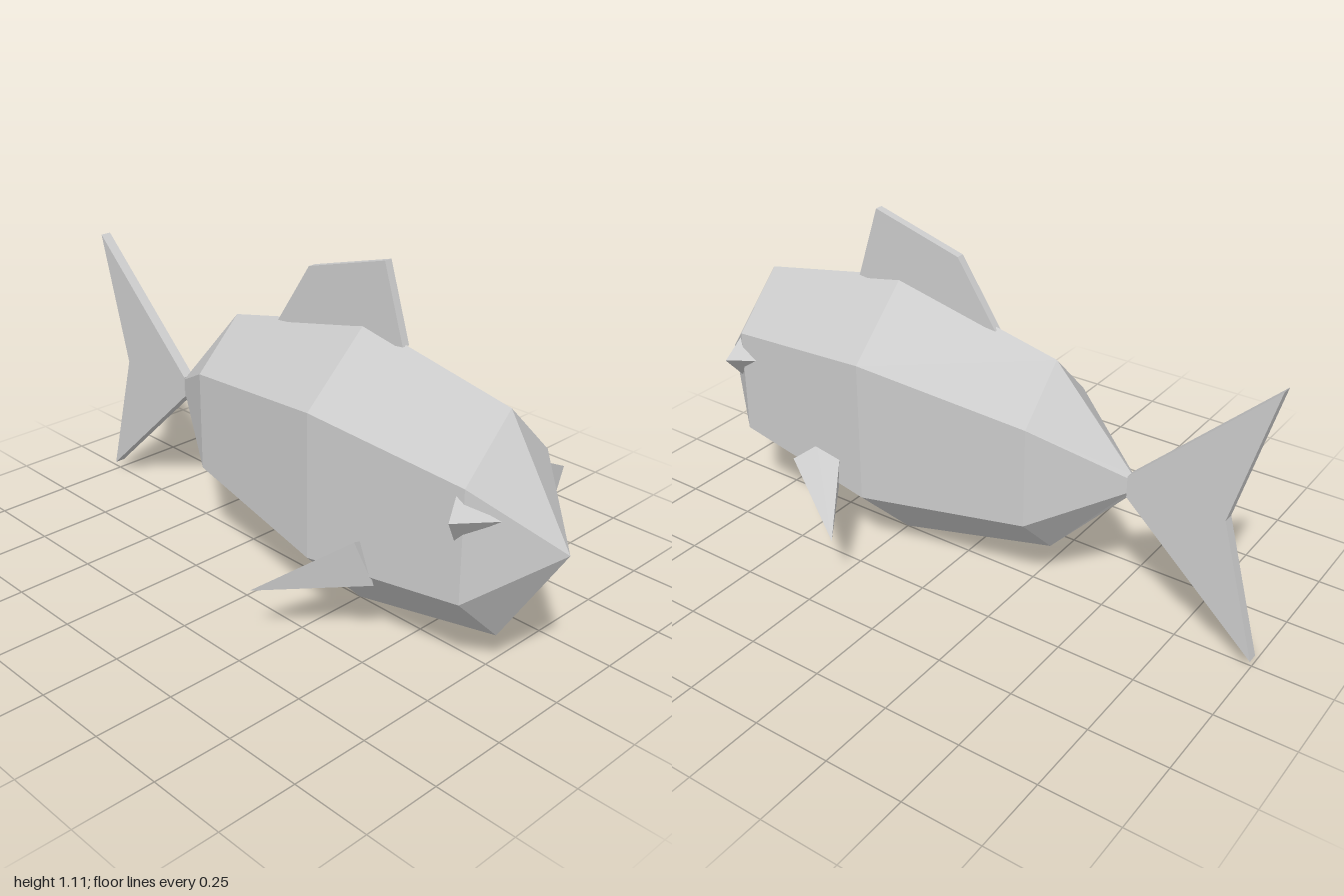
import * as THREE from 'three';
import { ConvexGeometry } from 'three/addons/geometries/ConvexGeometry.js';

const grey = new THREE.MeshStandardMaterial({ color: 0xcccccc, flatShading: true });
grey.name = 'pale grey';

function part(name, geometry) {
  const mesh = new THREE.Mesh(geometry, grey);
  mesh.name = name;
  return mesh;
}

// Solid faceted shard around a few corner points
const shard = (name, points) =>
  part(name, new ConvexGeometry(points.map((p) => new THREE.Vector3(...p))));

// Upright plate in the middle plane, outlined by [z, y] points
function plate(name, outline, thickness) {
  const shape = new THREE.Shape(outline.map(([z, y]) => new THREE.Vector2(-z, y)));
  const geometry = new THREE.ExtrudeGeometry(shape, { depth: thickness, bevelEnabled: false });
  geometry.translate(0, 0, -thickness / 2).rotateY(Math.PI / 2);
  return part(name, geometry);
}

// Six-sided body lofted through sections, closed by a pointed nose and a small tail cap
function bodyGeometry() {
  // z, half width, top, upper side, lower side, bottom
  const sections = [
    [1, 0, 0.465, 0.465, 0.465, 0.465],
    [0.78, 0.175, 0.815, 0.64, 0.29, 0.115],
    [0.25, 0.23, 0.915, 0.7, 0.235, 0.003],
    [-0.31, 0.16, 0.79, 0.63, 0.305, 0.145],
    [-0.575, 0.013, 0.5, 0.49, 0.445, 0.43],
  ];
  const rings = sections.map(([z, w, top, up, low, bottom]) => [
    [0, top, z], [-w, up, z], [-w, low, z], [0, bottom, z], [w, low, z], [w, up, z],
  ]);
  const out = [];
  for (let i = 0; i < rings.length - 1; i++) {
    for (let j = 0; j < 6; j++) {
      const k = (j + 1) % 6;
      const a = rings[i][j], b = rings[i][k], c = rings[i + 1][k], d = rings[i + 1][j];
      out.push(...a, ...d, ...c);
      if (i > 0) out.push(...a, ...c, ...b);
    }
  }
  const last = rings[rings.length - 1];
  for (let j = 1; j < 5; j++) out.push(...last[0], ...last[j + 1], ...last[j]);
  const geometry = new THREE.BufferGeometry();
  geometry.setAttribute('position', new THREE.Float32BufferAttribute(out, 3));
  geometry.computeVertexNormals();
  return geometry;
}

export function createModel() {
  const fish = new THREE.Group();
  fish.name = 'fish';

  fish.add(part('body', bodyGeometry()));

  // Fins in the middle plane
  fish.add(plate('dorsalFin', [[0.405, 0.882], [0.33, 1.115], [0.03, 1.03], [-0.105, 0.828]], 0.026));
  fish.add(plate('tailFin',
    [[-0.57, 0.5], [-1, 0.905], [-0.88, 0.467], [-1, 0.03], [-0.57, 0.43]], 0.036));

  // Side fins, each tilted differently
  fish.add(shard('leftFin', [
    [0.42, 0.19, 0.215], [0.255, 0.3, 0.51], [0.205, 0.346, 0.45],
    [0.205, 0.346, 0.355], [0.188, 0.217, 0.38],
  ]));
  fish.add(shard('rightFin', [
    [-0.425, 0.19, 0.215], [-0.245, 0.377, 0.455], [-0.2, 0.358, 0.44],
    [-0.193, 0.228, 0.485], [-0.19, 0.25, 0.3],
  ]));

  // Eyes: small four-sided shards, turned differently on each side
  fish.add(shard('leftEye', [
    [0.15, 0.615, 0.805], [0.245, 0.567, 0.79], [0.143, 0.465, 0.825], [0.17, 0.56, 0.705],
  ]));
  fish.add(shard('rightEye', [
    [-0.247, 0.57, 0.79], [-0.117, 0.555, 0.86], [-0.178, 0.612, 0.755], [-0.178, 0.48, 0.755],
  ]));

  return fish;
}
